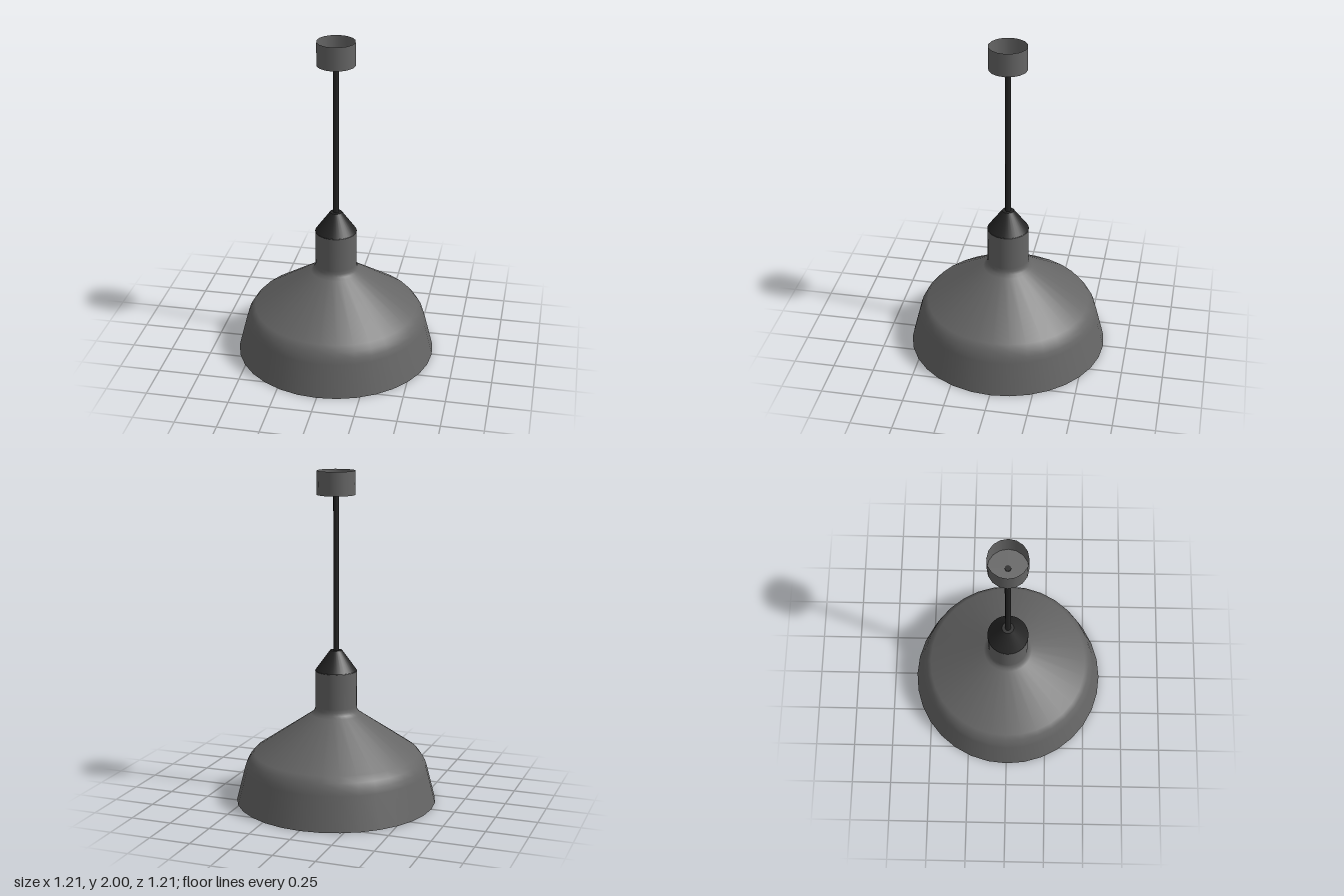
import * as THREE from 'three';

const SIDES = 32;

export function createModel() {
  const lamp = new THREE.Group();
  lamp.name = 'pendantLamp';

  const grey = new THREE.MeshStandardMaterial({ color: 0x656565 });
  grey.name = 'grey enamel';
  const black = new THREE.MeshStandardMaterial({ color: 0x242424 });
  black.name = 'black';
  const pale = new THREE.MeshStandardMaterial({ color: 0xdcdcdc });
  pale.name = 'pale lining';

  const add = (name, geometry, material, y = 0) => {
    const mesh = new THREE.Mesh(geometry, material);
    mesh.name = name;
    mesh.position.y = y;
    lamp.add(mesh);
  };
  const lathe = (points, sides = SIDES) =>
    new THREE.LatheGeometry(points.map(([r, y]) => new THREE.Vector2(r, y)), sides);
  const disc = (radius, up, sides = SIDES) =>
    new THREE.CircleGeometry(radius, sides).rotateX(up ? -Math.PI / 2 : Math.PI / 2);
  const ringBelow = (inner, outer) =>
    new THREE.RingGeometry(inner, outer, SIDES).rotateX(Math.PI / 2);

  // Shade: flared skirt, rounded shoulder, cone and neck
  add('shade', lathe([
    [0.607, 0], [0.556, 0.2], [0.545, 0.235], [0.527, 0.268], [0.5, 0.302],
    [0.152, 0.538], [0.135, 0.553], [0.127, 0.57], [0.125, 0.59], [0.125, 0.808],
  ]), grey);

  // Rim: thin grey edge around the pale lip
  add('shadeRim', ringBelow(0.602, 0.607), grey);
  add('liningLip', ringBelow(0.588, 0.602), pale);

  // Shallow recess with the diffuser closing the underside
  add('innerWall', lathe([[0.588, 0.02], [0.588, 0]]), pale);
  add('diffuser', disc(0.588, false), pale, 0.02);

  // Cap on the neck, then the hanging cord
  add('neckCap', lathe([[0.126, 0.805], [0.036, 0.93]]), black);
  add('neckCapTop', disc(0.036, true), black, 0.93);
  add('neckCapBase', disc(0.126, false), black, 0.805);
  add('cord', new THREE.CylinderGeometry(0.018, 0.018, 0.95, 8), black, 1.395);

  // Ceiling cup, open at the top
  const CUP_SIDES = 16;
  const cupBottom = 1.859;
  add('ceilingCup', lathe([[0.114, cupBottom], [0.114, 2]], CUP_SIDES), grey);
  add('ceilingCupInside', lathe([[0.113, 2], [0.113, cupBottom + 0.005]], CUP_SIDES), grey);
  add('ceilingCupFloor', disc(0.113, true, CUP_SIDES), grey, cupBottom + 0.005);
  add('ceilingCupBase', disc(0.114, false, CUP_SIDES), grey, cupBottom);

  return lamp;
}
